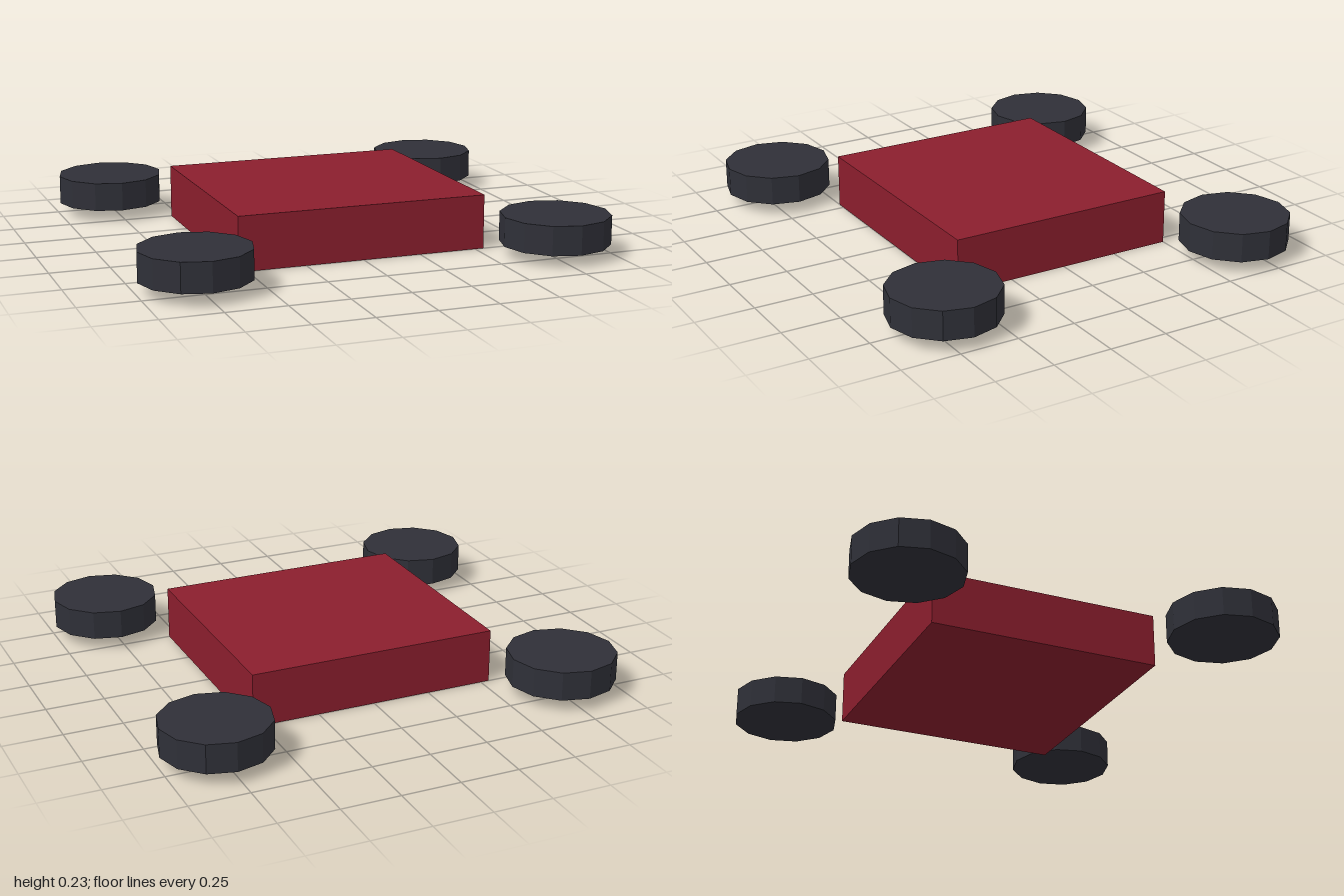
import * as THREE from 'three';

export function createModel() {
  const model = new THREE.Group();
  const red = new THREE.MeshStandardMaterial({ color: 0x8b1e2d, flatShading: true });
  const dark = new THREE.MeshStandardMaterial({ color: 0x2f3038, flatShading: true });

  // Flat slab body resting on the ground
  const body = new THREE.Mesh(new THREE.BoxGeometry(1.075, 0.23, 1.0), red);
  body.name = 'body';
  body.position.y = 0.115;
  model.add(body);

  // Four twelve-sided wheels lying flat, detached at the corners
  const wheelGeometry = new THREE.CylinderGeometry(0.23, 0.23, 0.123, 12);
  for (const [zName, z] of [['front', 0.692], ['back', -0.692]]) {
    for (const [xName, x] of [['Left', 0.77], ['Right', -0.77]]) {
      const wheel = new THREE.Mesh(wheelGeometry, dark);
      wheel.name = `${zName}${xName}Wheel`;
      wheel.position.set(x, 0.115, z);
      model.add(wheel);
    }
  }
  return model;
}
